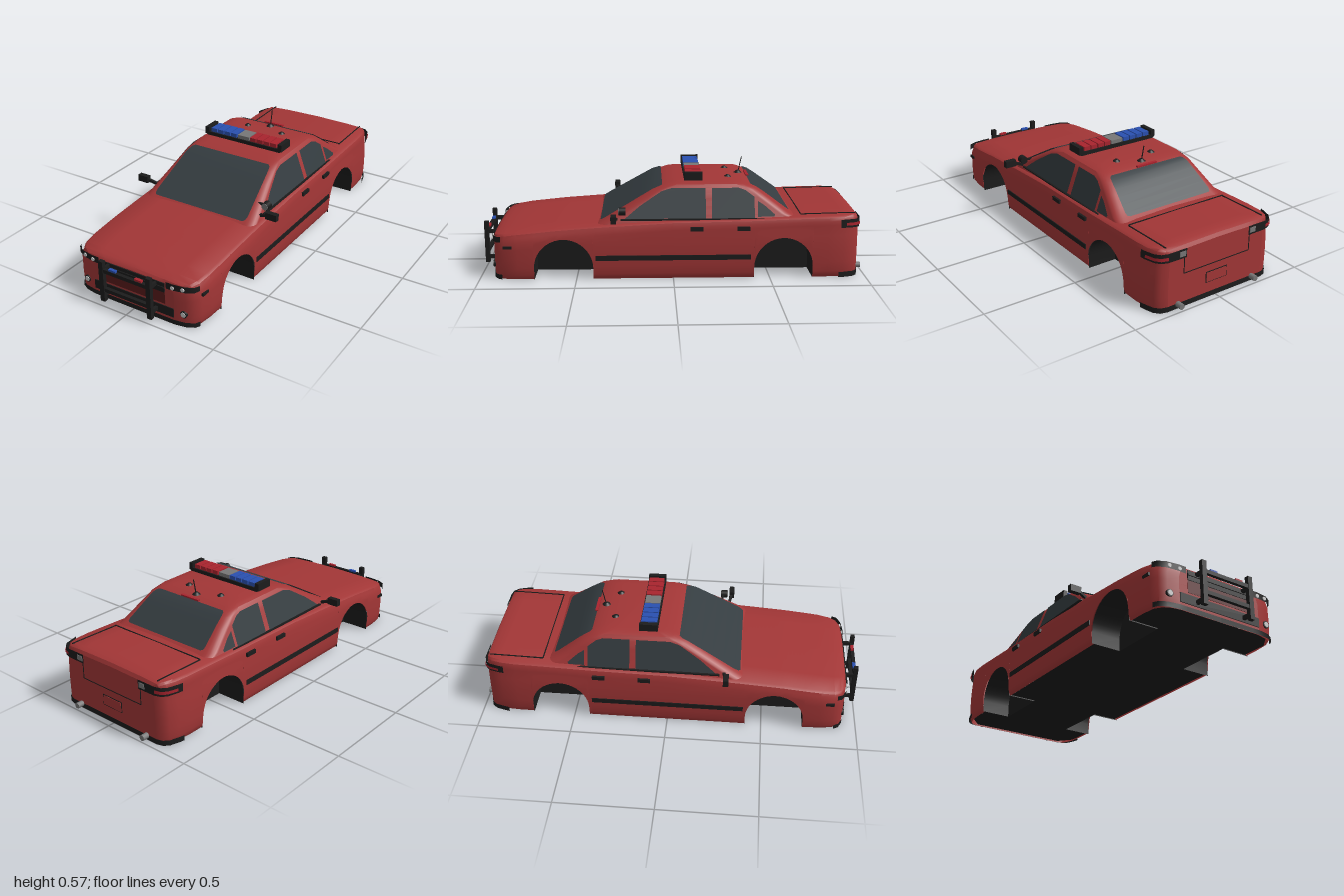
import * as THREE from 'three';
import { toCreasedNormals } from 'three/addons/utils/BufferGeometryUtils.js';

const mat = (color) => new THREE.MeshStandardMaterial({ color, side: THREE.DoubleSide });
const red = mat(0xa23636), black = mat(0x1c1c1c), glass = mat(0x343c40), grey = mat(0xcccccc),
  dim = mat(0x777777), blue = mat(0x2a50b0), lampRed = mat(0xa8242e), dark = mat(0x5a1c1c);

// Piecewise-linear lookup in a table of [key, value], keys ascending
function lerp(table, v) {
  if (v <= table[0][0]) return table[0][1];
  for (let i = 1; i < table.length; i++) {
    const [a, fa] = table[i - 1], [b, fb] = table[i];
    if (v <= b) return fa + (fb - fa) * (v - a) / (b - a);
  }
  return table[table.length - 1][1];
}

// Surface through rows of points
function loft(rows, crease = 0.6) {
  const n = rows[0].length, index = [];
  for (let i = 0; i < rows.length - 1; i++) for (let j = 0; j < n - 1; j++) {
    const a = i * n + j, b = a + 1, c = a + n, d = c + 1;
    index.push(a, c, b, b, c, d);
  }
  const g = new THREE.BufferGeometry();
  g.setAttribute('position', new THREE.Float32BufferAttribute(rows.flat(2), 3));
  g.setIndex(index);
  return toCreasedNormals(g, crease);
}

// Body tables along z: half width and deck height; width factor along y
const WIDTH = [[-.965, .29], [-.955, .325], [-.93, .347], [-.88, .362], [-.8, .368], [.72, .368], [.8, .366], [.87, .357], [.905, .337], [.925, .3], [.935, .24]];
const DECK = [[-.965, .305], [-.955, .322], [-.93, .33], [-.7, .324], [-.4, .314], [0, .307], [.3, .29], [.4, .284], [.6, .27], [.8, .25], [.87, .24], [.905, .233], [.925, .226], [.935, .213]];
const SIDE = [[0, .955], [.01, .975], [.03, .99], [.1, 1], [.2, .995], [.28, .97]];
const ARCHES = [.565, -.57], ARCH_R = .152, ARCH_Y = .062;
// Cabin tables along y: windscreen z, rear screen z, half width
const SCREEN = [[.27, .41], [.285, .385], [.3, .358], [.37, .238], [.45, .1], [.475, .03], [.485, -.06]];
const REAR = [[.27, -.74], [.3, -.67], [.33, -.605], [.45, -.44], [.475, -.38], [.485, -.3]];
const CABIN = [[.27, .34], [.3, .33], [.45, .275], [.475, .256], [.485, .2]];
// Plan outlines of one front and one rear corner
const FRONT = [[.2, .935], [.24, .935], [.3, .925], [.337, .905], [.35, .88]];
const BACK = [[.19, -.965], [.29, -.965], [.325, -.955], [.347, -.93], [.362, -.88], [.367, -.855]];

export function createModel() {
  const car = new THREE.Group();
  const add = (name, geo, m, x = 0, y = 0, z = 0) => {
    const mesh = new THREE.Mesh(geo, m);
    mesh.name = name;
    mesh.position.set(x, y, z);
    car.add(mesh);
    return mesh;
  };
  const box = (name, m, w, h, d, x, y, z) => add(name, new THREE.BoxGeometry(w, h, d), m, x, y, z);
  const bar = (name, m, a, b, w, h = w) => {
    const p = new THREE.Vector3(...a), q = new THREE.Vector3(...b);
    const mesh = box(name, m, w, h, p.distanceTo(q), ...p.clone().lerp(q, .5).toArray());
    mesh.lookAt(q);
    return mesh;
  };
  const disc = (name, m, r, d, x, y, z) =>
    add(name, new THREE.CylinderGeometry(r, r, d, 20).rotateX(Math.PI / 2), m, x, y, z);

  // Body shell: cross-sections along z, the lower edge rising over the wheel arches
  const stations = WIDTH.concat(DECK).map(([z]) => [z, 0]);
  for (const c of ARCHES) {
    for (const s of [-1, 1]) stations.push([c + s * (ARCH_R + 1e-4), 0]);
    for (let i = 0; i <= 20; i++) {
      const a = Math.PI * i / 20;
      stations.push([c + ARCH_R * Math.cos(a), ARCH_Y + ARCH_R * Math.sin(a)]);
    }
  }
  const inArch = (z) => ARCHES.some((c) => Math.abs(z - c) < ARCH_R);
  const section = ([z, yb]) => {
    const w = lerp(WIDTH, z), t = lerp(DECK, z), ys = t - .05;
    const half = [0, .04, .12, .3, .55, .8, 1].map((f) => {
      const y = yb + (ys - yb) * f;
      return [w * lerp(SIDE, y), y, z];
    });
    half.push([w * .972, t - .03, z], [w * .955, t - .013, z], [w * .92, t - .004, z], [w * .6, t + .001, z], [0, t + .004, z]);
    return half.concat(half.slice(0, -1).reverse().map(([x, y]) => [-x, y, z]));
  };
  const rings = stations.filter(([z, y]) => y > 0 || !inArch(z)).sort((a, b) => a[0] - b[0]).map(section);
  add('bodyShell', loft(rings), red);
  for (const [name, r] of [['noseFace', rings[rings.length - 1]], ['tailFace', rings[0]]]) {
    add(name, loft(r.slice(0, 12).map((p, i) => [p, r[r.length - 1 - i]])), red);
  }

  // Floor with wheel notches
  const half = [[.24, .925], [.3, .91], [.345, .85], [.345, .717], [.2, .717], [.2, .413], [.345, .413], [.345, -.418],
    [.2, -.418], [.2, -.722], [.345, -.722], [.345, -.88], [.28, -.955]];
  const floor = half.concat(half.slice().reverse().map(([x, z]) => [-x, z]));
  add('floor', new THREE.ShapeGeometry(new THREE.Shape(floor.map((p) => new THREE.Vector2(...p)))).rotateX(Math.PI / 2), black, 0, .005, 0);

  // Cabin: rounded rectangles stacked in y, closed by the roof
  const cabinRing = (y) => {
    const zf = lerp(SCREEN, y), zr = lerp(REAR, y), w = lerp(CABIN, y), r = .05, pts = [];
    for (const [sx, z, a0] of [[1, zf - r, 0], [-1, zf - r, 1], [-1, zr + r, 2], [1, zr + r, 3]]) {
      for (let i = 0; i <= 5; i++) {
        const a = (a0 + i / 5) * Math.PI / 2;
        pts.push([sx * (w - r) + r * Math.cos(a), y, z + r * Math.sin(a)]);
      }
    }
    return [...pts, pts[0]];
  };
  const levels = [.27, .285, .3, .33, .37, .41, .45, .463, .475, .481, .485].map(cabinRing);
  levels.push(levels[0].map(() => [0, .488, -.18]));
  add('cabin', loft(levels, .7), red);

  // Windscreen and rear screen follow the cabin slope
  const screen = (name, table, y0, y1, w0, w1, off) => {
    const rows = [0, .03, .1, .3, .5, .7, .9, .97, 1].map((t) => {
      const y = y0 + (y1 - y0) * t, w = w0 + (w1 - w0) * t - (t % 1 ? (t < .05 || t > .95 ? .006 : 0) : .018);
      return [-1, 1].map((s) => [s * w, y + .003, lerp(table, y) + off]);
    });
    add(name, loft(rows), glass);
  };
  screen('windscreen', SCREEN, .293, .468, .286, .25, .005);
  screen('rearScreen', REAR, .333, .467, .265, .235, -.005);
  box('highBrakeLamp', lampRed, .12, .008, .015, 0, .479, -.405);

  const sideWindows = [
    [[.25, .312], [.17, .375], [.06, .445], [.01, .46], [-.168, .46], [-.168, .312]],
    [[-.2, .312], [-.2, .46], [-.34, .46], [-.375, .448], [-.42, .415], [-.42, .312]],
    [[-.437, .318], [-.437, .395], [-.47, .375], [-.525, .328], [-.52, .318]],
  ];
  const paneX = (y) => .33 - (y - .3) * .3667;
  const pane = (name, pts, m, s, off) => {
    const g = new THREE.ShapeGeometry(new THREE.Shape(pts.map((p) => new THREE.Vector2(...p))));
    const p = g.attributes.position;
    for (let i = 0; i < p.count; i++) p.setXYZ(i, s * (paneX(p.getY(i)) + off), p.getY(i), p.getX(i));
    g.computeVertexNormals();
    add(name, g, m);
  };
  // Panel wrapped around a body corner, y limits sloping from inner to outer end
  const wrap = (name, m, path, s, [a0, a1], [b0, b1], off) => {
    const rows = path.map(([x, z], i) => {
      const t = i / (path.length - 1), px = s * (x + off * (x > .25)), pz = z + off * Math.sign(z);
      return [[px, a0 + (b0 - a0) * t, pz], [px, a1 + (b1 - a1) * t, pz]];
    });
    add(name, loft(rows), m);
  };

  for (const s of [1, -1]) {
    sideWindows.forEach((w) => pane('sideWindow', w, glass, s, .004));
    bar('beltTrim', black, [s * .333, .307, .27], [s * .333, .309, -.53], .012, .007);

    // Wheel wells
    for (const c of ARCHES) {
      const arc = [[c + ARCH_R, 0]];
      for (let i = 0; i <= 20; i++) arc.push([c + ARCH_R * Math.cos(Math.PI * i / 20), ARCH_Y + ARCH_R * Math.sin(Math.PI * i / 20)]);
      arc.push([c - ARCH_R, 0]);
      add('wheelWell', loft([arc.map(([z, y]) => [s * .362, y, z]), arc.map(([z, y]) => [s * .2, y, z]), arc.map(() => [s * .2, 0, c])]), black);
    }

    // Side trim, handles and markers
    box('sideMoulding', black, .012, .026, .8, s * .366, .115, 0);
    for (const z of [-.12, -.36]) box('doorHandle', black, .018, .02, .065, s * .361, .265, z);
    box('sideMarker', black, .01, .015, .045, s * .36, .172, .85);

    // Lamps
    wrap('headlight', black, FRONT, s, [.19, .226], [.2, .228], .005);
    disc('innerBeam', grey, .01, .008, s * .237, .205, .94);
    disc('outerBeam', grey, .01, .012, s * .29, .209, .931);
    disc('fogRing', black, .018, .012, s * .29, .07, .927);
    disc('fogLens', grey, .013, .014, s * .29, .07, .929);
    wrap('tailLight', black, BACK, s, [.262, .31], [.268, .31], .005);
    wrap('tailLens', lampRed, BACK.slice(1, 5), s, [.276, .293], [.278, .293], .008);
    box('reverseLamp', dim, .035, .026, .006, s * .215, .286, -.97);
    wrap('frontSkirt', black, [[0, .935], ...FRONT], s, [0, .025], [0, .025], .002);
    wrap('rearSkirt', black, [[0, -.965], ...BACK], s, [0, .028], [0, .028], .002);

    // Mirrors
    bar('mirrorArm', black, [s * .31, .305, .29], [s * .38, .328, .305], .014);
    box('mirror', black, .062, .036, .028, s * .399, .329, .305);

    // Boot lid seams
    bar('bootSeam', black, [s * .295, .3225, -.66], [s * .295, .329, -.945], .005);
    box('bootSeam', black, .004, .09, .004, s * .2, .222, -.965);

    // Push bar uprights and brackets
    box('pushBarUpright', black, .026, .225, .022, s * .14, .142, .989);
    for (const y of [.06, .2]) box('pushBarBracket', black, .014, .02, .06, s * .14, y, .955);
    add('exhaust', new THREE.CylinderGeometry(.015, .015, .09, 12).rotateX(Math.PI / 2), dim, s * .23, .024, -.955);
  }
  box('bootSeam', black, .59, .004, .005, 0, .326, -.66);
  box('bootSeam', black, .4, .004, .004, 0, .178, -.965);
  box('plateFrame', black, .13, .058, .004, 0, .11, -.965);
  box('plate', red, .122, .05, .006, 0, .11, -.966);

  // Grille, intake and push bar rails
  box('grilleRecess', dark, .38, .07, .004, 0, .133, .935);
  box('grille', black, .38, .05, .008, 0, .188, .936);
  box('grilleRib', black, .38, .008, .014, 0, .19, .938);
  box('lowerIntake', black, .475, .048, .008, 0, .063, .935);
  for (const y of [.095, .202]) box('pushBarRail', black, .28, .02, .018, 0, y, .987);
  box('grilleLampBlue', blue, .042, .011, .016, -.077, .217, .985);
  box('grilleLampRed', lampRed, .042, .011, .016, .077, .217, .985);

  // Roof light bar
  box('lightBarBase', black, .46, .02, .095, 0, .5, -.107);
  for (const s of [1, -1]) {
    box('lightBarEnd', black, .024, .04, .095, s * .229, .515, -.107);
    box('lightBarFoot', black, .05, .02, .06, s * .12, .486, -.107);
    for (let i = 0; i < 4; i++) {
      box('lightBarLamp', s < 0 ? blue : lampRed, .036, .022, .082, s * (.06 + i * .0425), .521, -.107);
    }
  }
  box('lightBarCentre', dim, .07, .02, .08, 0, .52, -.107);

  // Roof aerials
  for (const [x, z] of [[-.11, -.295], [.11, -.295], [0, -.36]]) {
    add('aerialBase', new THREE.CylinderGeometry(.008, .022, .012, 16), black, x, .488, z);
  }
  bar('aerial', black, [0, .485, -.362], [0, .57, -.38], .004);

  // Spotlight on the left pillar
  bar('spotlightArm', black, [.29, .35, .25], [.335, .355, .262], .01);
  disc('spotlight', black, .021, .035, .342, .355, .262);
  disc('spotlightLens', dim, .018, .004, .342, .355, .281);
  return car;
}
